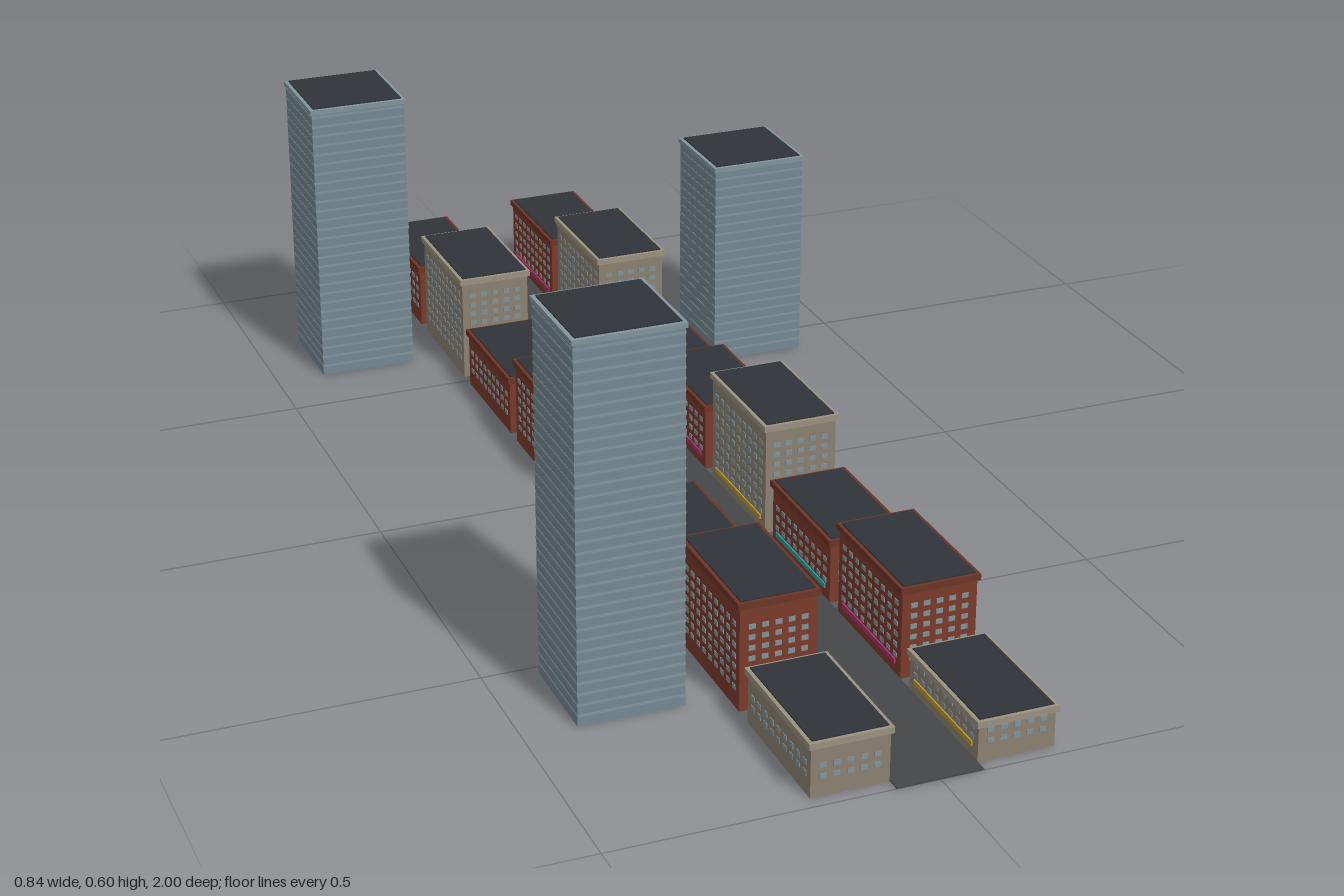
import * as THREE from 'three';
import { mergeGeometries } from 'three/addons/utils/BufferGeometryUtils.js';

const mat = (color) => new THREE.MeshStandardMaterial({ color });
const brick = mat(0x7a3a2a), stone = mat(0x8a8170), brickTrim = mat(0x6c3426), stoneTrim = mat(0x9a9181);
const roofing = mat(0x303438), asphalt = mat(0x454648), pane = mat(0x80939b);
const glass = mat(0x748891), glassTrim = mat(0x82949c);
const signs = [mat(0xa8326e), mat(0xb8962a), mat(0x2f9a9a)];

// Box geometry centred in x and z, standing on y
function slab(w, h, d, x, y, z) {
  return new THREE.BoxGeometry(w, h, d).translate(x, y + h / 2, z);
}

function add(group, name, geometry, material) {
  const mesh = new THREE.Mesh(geometry, material);
  mesh.name = name;
  group.add(mesh);
}

// Regular grid of thin window panes on all four walls
function windowGrid(w, d, bodyTop) {
  const parts = [];
  const rows = Math.max(2, Math.floor((bodyTop - 0.03) / 0.0172));
  for (let r = 0; r < rows; r++) {
    const y = 0.028 + r * 0.0172;
    if (y + 0.008 > bodyTop) break;
    for (const s of [-1, 1]) {
      for (let c = -2; c <= 2; c++) parts.push(slab(0.0105, 0.008, 0.002, c * 0.0205, y, s * d / 2));
      for (let c = -4; c <= 4; c++) parts.push(slab(0.002, 0.008, 0.0115, s * w / 2, y, c * 0.0225));
    }
  }
  return mergeGeometries(parts);
}

// Low street building with cornice, flat roof and a sign band facing the street
function building(side, z, height, isStone, signIndex) {
  const g = new THREE.Group();
  g.name = isStone ? 'stoneBuilding' : 'brickBuilding';
  const w = 0.12, d = 0.218, corniceY = height - 0.012;
  add(g, 'walls', slab(w, corniceY, d, 0, 0, 0), isStone ? stone : brick);
  add(g, 'cornice', slab(w + 0.008, 0.01, d + 0.008, 0, corniceY, 0), isStone ? stoneTrim : brickTrim);
  add(g, 'roof', slab(w - 0.004, 0.003, d - 0.004, 0, height - 0.003, 0), roofing);
  add(g, 'windows', windowGrid(w, d, corniceY), pane);
  add(g, 'shopSign', slab(0.005, 0.008, d * 0.85, -side * w / 2, 0.017, 0), signs[signIndex % 3]);
  g.position.set(side * 0.1275, 0, z);
  return g;
}

// Glass tower with fine floor bands
function tower(x, z, height) {
  const g = new THREE.Group();
  g.name = 'tower';
  const w = 0.165;
  add(g, 'towerWalls', slab(w, height - 0.01, w, 0, 0, 0), glass);
  const bands = [];
  for (let y = 0.015; y < height - 0.015; y += 0.0172) bands.push(slab(w + 0.001, 0.004, w + 0.001, 0, y, 0));
  add(g, 'floorBands', mergeGeometries(bands), glassTrim);
  add(g, 'towerParapet', slab(w + 0.005, 0.008, w + 0.005, 0, height - 0.01, 0), glassTrim);
  add(g, 'towerRoof', slab(w - 0.008, 0.003, w - 0.008, 0, height - 0.003, 0), roofing);
  g.position.set(x, 0, z);
  return g;
}

export function createModel() {
  const model = new THREE.Group();
  model.name = 'cityStreet';

  // Road
  add(model, 'road', slab(0.134, 0.002, 2, 0, 0, 0), asphalt);

  // Rows of buildings from back to front: [right side height, left side height]
  const rows = [
    [0.115, 0.13], [0.187, 0.187], [0.105, 0.09], [0.152, 0.117],
    [0.066, 0.19], [0.131, 0.109], [0.178, 0.152], [0.09, 0.068],
  ];
  rows.forEach(([right, left], i) => {
    const z = (i - 3.5) * 0.2495 - 0.004;
    const isStone = i % 3 === 1;
    model.add(building(-1, z, right, isStone, [2, 1, 2, 0, 2, 2, 1, 0][i]));
    model.add(building(1, z, left, isStone, [0, 2, 1, 0, 1, 2, 0, 1][i]));
  });

  // Towers behind the rows
  model.add(tower(-0.334, 0.6, 0.602));
  model.add(tower(-0.334, -0.7, 0.497));
  model.add(tower(0.332, -0.503, 0.368));
  return model;
}
